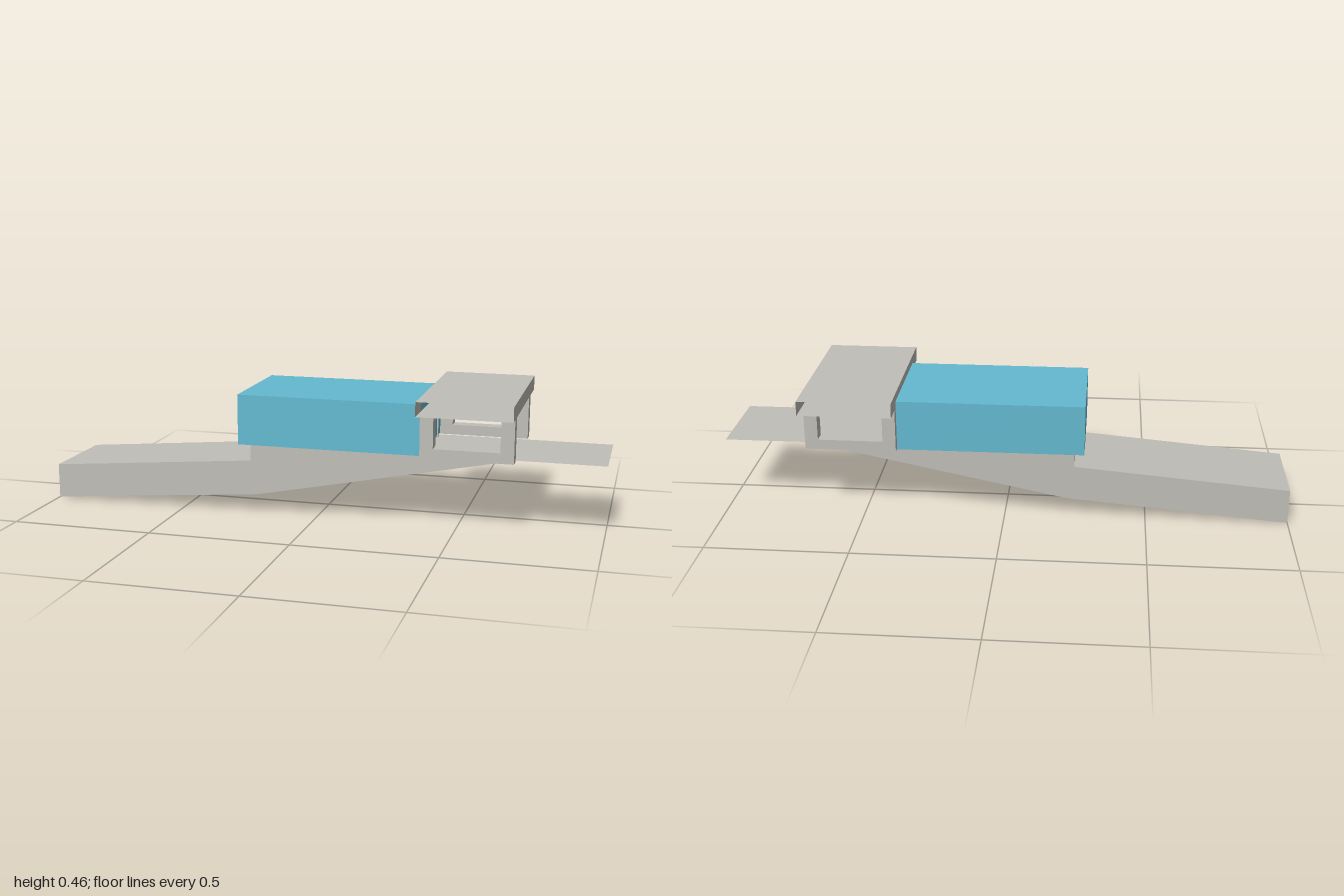
import * as THREE from 'three';

const stone = new THREE.MeshStandardMaterial({ color: 0xc0beb8, side: THREE.DoubleSide });
stone.name = 'warm grey';
const glass = new THREE.MeshStandardMaterial({ color: 0x63b9d0 });
glass.name = 'pale blue';

// Open sheet that follows an x/y path and spans z0..z1
function ribbon(path, z0, z1) {
  const pos = [];
  for (let i = 0; i < path.length - 1; i++) {
    const [ax, ay] = path[i], [bx, by] = path[i + 1];
    pos.push(ax, ay, z1, bx, by, z1, bx, by, z0, ax, ay, z1, bx, by, z0, ax, ay, z0);
  }
  const g = new THREE.BufferGeometry();
  g.setAttribute('position', new THREE.Float32BufferAttribute(pos, 3));
  g.computeVertexNormals();
  return g;
}

function outline(points) {
  return new THREE.Shape(points.map(([x, y]) => new THREE.Vector2(x, y)));
}

export function createModel() {
  const model = new THREE.Group();
  model.name = 'rampBuilding';
  const add = (name, geometry, material, x = 0, y = 0, z = 0) => {
    const mesh = new THREE.Mesh(geometry, material);
    mesh.name = name;
    mesh.position.set(x, y, z);
    model.add(mesh);
    return mesh;
  };

  const mid = 0.006, zBack = -0.155, zFront = 0.167, deck = 0.255;

  // Hollow ramp body, open at its low end
  const underside = [[-1, 0.003], [-0.22, 0.07], [0.695, deck - 0.001]];
  const upper = [[-1, 0.128], [-0.245, 0.193], [-0.245, deck], [1, deck]];
  add('rampUnderside', ribbon(underside, zBack, zFront), stone);
  add('rampTopAndDeck', ribbon([...upper].reverse(), zBack, zFront), stone);
  const wall = outline([...underside, [0.695, deck], ...upper.slice(0, 3).reverse()]);
  for (const [name, z] of [['rampFrontWall', zFront], ['rampBackWall', zBack]]) {
    add(name, new THREE.ShapeGeometry(wall), stone, 0, 0, z);
  }

  // Glazed hall
  add('glassHall', new THREE.BoxGeometry(0.655, 0.179, 0.394), glass, 0.0475, 0.3465, 0);

  // Thin mullions on the end of the hall
  for (let i = -2; i <= 2; i++) {
    add('mullion', new THREE.BoxGeometry(0.006, 0.158, 0.006), stone, 0.377, 0.334, mid + i * 0.0595);
  }

  // U-shaped side frames carrying the canopy
  const frame = outline([
    [0.377, deck], [0.697, deck], [0.697, 0.413], [0.651, 0.413],
    [0.651, 0.291], [0.423, 0.291], [0.423, 0.413], [0.377, 0.413],
  ]);
  for (const z of [0.179, -0.213]) {
    add('sideFrame', new THREE.ExtrudeGeometry(frame, { depth: 0.046, bevelEnabled: false }), stone, 0, 0, z);
  }

  // Canopy roof: a flat sleeve open at both z ends
  const sleeve = [[0.375, 0.413], [0.7, 0.413], [0.7, 0.464], [0.375, 0.464], [0.375, 0.413]];
  add('canopyRoof', ribbon(sleeve, -0.296, 0.296), stone);

  return model;
}
